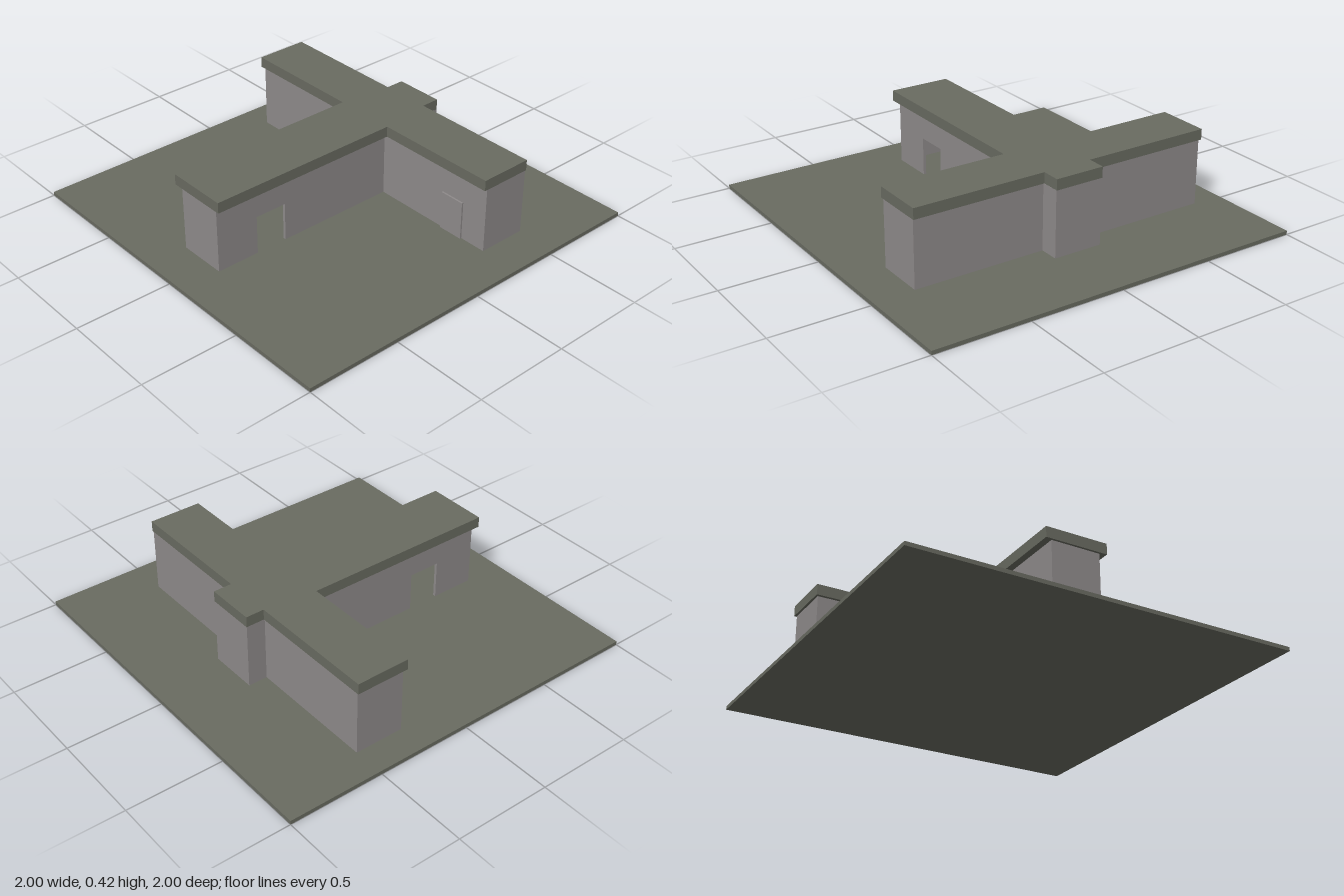
import * as THREE from 'three';

const T = 0.015;              // wall thickness
const FLOOR = 0.02, EAVES = 0.364, TOP = 0.42, DOOR = 0.222;

export function createModel() {
  const model = new THREE.Group();
  const olive = new THREE.MeshStandardMaterial({ color: 0x696b61 });
  olive.name = 'olive grey';
  const grey = new THREE.MeshStandardMaterial({ color: 0x8f8b8b });
  grey.name = 'wall grey';

  const add = (name, geometry, material) => {
    const mesh = new THREE.Mesh(geometry, material);
    mesh.name = name;
    model.add(mesh);
    return mesh;
  };
  // Box given by its limits on each axis
  const box = (name, x0, x1, y0, y1, z0, z1, material) =>
    add(name, new THREE.BoxGeometry(x1 - x0, y1 - y0, z1 - z0), material)
      .position.set((x0 + x1) / 2, (y0 + y1) / 2, (z0 + z1) / 2);
  const wall = (name, x0, x1, z0, z1) => box(name, x0, x1, FLOOR, EAVES, z0, z1, grey);
  const shapeOf = (points) => new THREE.Shape(points.map(([a, b]) => new THREE.Vector2(a, b)));

  // Ground slab
  box('groundSlab', -1, 1, 0, FLOOR, -1, 1, olive);

  // Cross-shaped flat roof, outlined as (x, -z) and laid flat
  const roofOutline = shapeOf([
    [-0.797, -0.13], [0.24, -0.13], [0.24, -0.79], [0.52, -0.79], [0.52, -0.095], [0.617, -0.095],
    [0.617, 0.165], [0.52, 0.165], [0.52, 0.853], [0.24, 0.853], [0.24, 0.198], [-0.797, 0.198],
  ]);
  const roof = new THREE.ExtrudeGeometry(roofOutline, { depth: TOP - EAVES, bevelEnabled: false });
  roof.rotateX(-Math.PI / 2).translate(0, EAVES, 0);
  add('roof', roof, olive);

  // Wall limits of the long hall and of the crossing wing
  const hall = { x0: -0.785, x1: 0.615, z0: -0.163, z1: 0.096 };
  const wing = { x0: 0.256, x1: 0.514, z0: -0.841, z1: 0.789 };

  // Long hall walls, each with a doorway
  const doorWall = shapeOf([
    [hall.x0, FLOOR], [-0.555, FLOOR], [-0.555, DOOR], [-0.385, DOOR], [-0.385, FLOOR],
    [wing.x0 + T, FLOOR], [wing.x0 + T, EAVES], [hall.x0, EAVES],
  ]);
  for (const [name, z] of [['hallFrontWall', hall.z1 - T], ['hallBackWall', hall.z0]]) {
    const geometry = new THREE.ExtrudeGeometry(doorWall, { depth: T, bevelEnabled: false });
    add(name, geometry.translate(0, 0, z), grey);
  }
  wall('hallEndWall', hall.x0, hall.x0 + T, hall.z0 + T, hall.z1 - T);

  // Short bay on the far side of the wing
  wall('bayFrontWall', wing.x1 - T, hall.x1, hall.z1 - T, hall.z1);
  wall('bayBackWall', wing.x1 - T, hall.x1, hall.z0, hall.z0 + T);
  wall('bayEndWall', hall.x1 - T, hall.x1, hall.z0 + T, hall.z1 - T);

  // Wing walls, front and back halves
  for (const [name, z0, z1] of [['wingFront', hall.z1, wing.z1], ['wingBack', wing.z0, hall.z0]]) {
    wall(name + 'RightWall', wing.x0, wing.x0 + T, z0, z1);
    wall(name + 'LeftWall', wing.x1 - T, wing.x1, z0, z1);
  }
  wall('wingFrontEndWall', wing.x0 + T, wing.x1 - T, wing.z1 - T, wing.z1);
  wall('wingBackEndWall', wing.x0 + T, wing.x1 - T, wing.z0, wing.z0 + T);

  // Thin door panels on the wing
  box('wingFrontDoor', wing.x0 - 0.009, wing.x0, FLOOR, DOOR, 0.51, 0.645, grey);
  box('wingBackDoor', wing.x0 - 0.009, wing.x0, FLOOR, DOOR, -0.34, -0.21, grey);

  return model;
}
